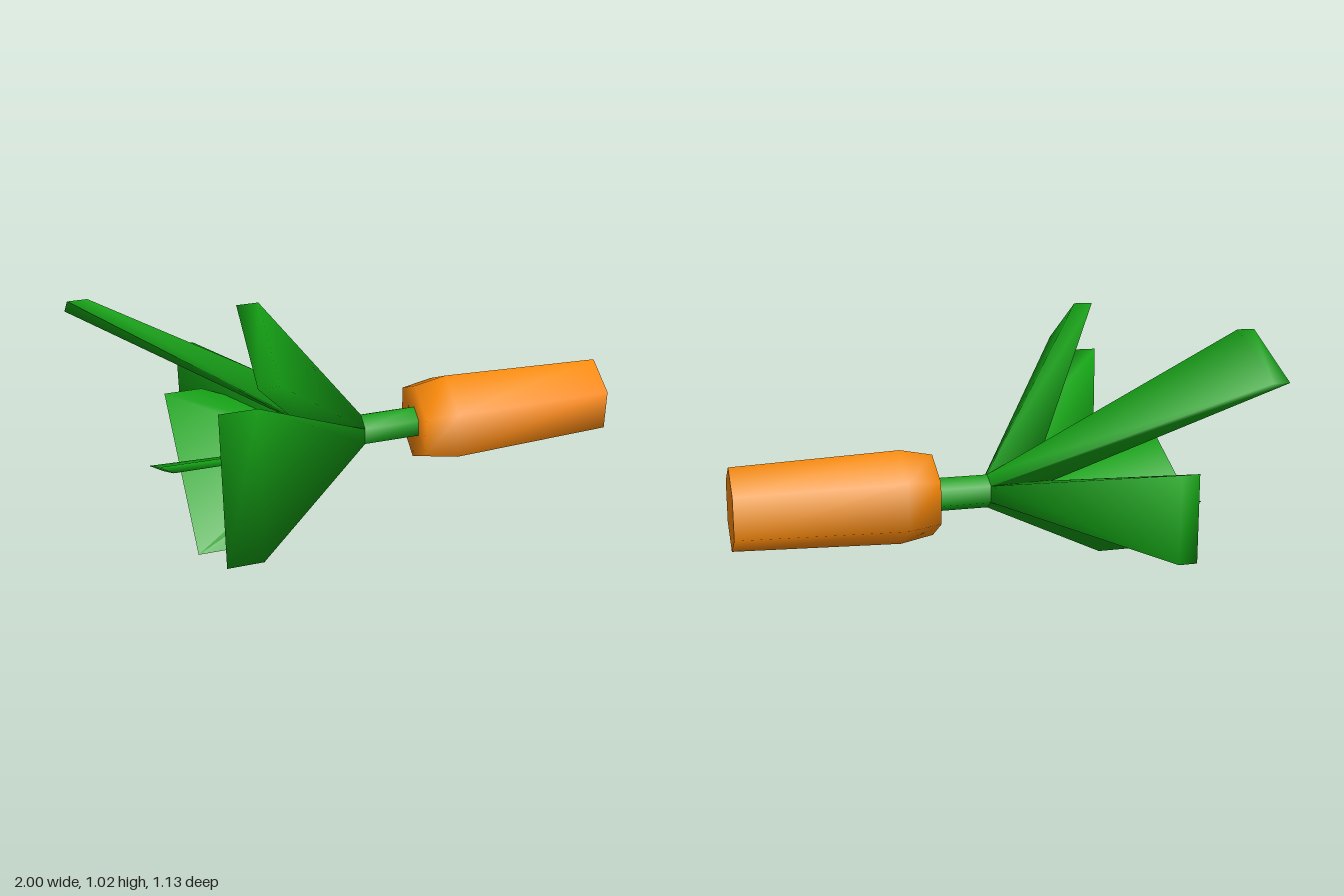
import * as THREE from 'three';
import { toCreasedNormals } from 'three/addons/utils/BufferGeometryUtils.js';

const AXIS_Y = 0.333, AXIS_Z = 0.04;
const orange = new THREE.MeshStandardMaterial({ color: 0xff8c0a });
const green = new THREE.MeshStandardMaterial({ color: 0x14a014 });

// Six-sided turned solid along x from [radius, x] pairs, a ridge on top
function hexSolid(name, profile, material) {
  const geo = new THREE.LatheGeometry(profile.map(([r, x]) => new THREE.Vector2(r, x)), 6);
  geo.rotateY(Math.PI / 6).rotateZ(-Math.PI / 2).translate(0, AXIS_Y, AXIS_Z);
  const mesh = new THREE.Mesh(toCreasedNormals(geo, 1.45), material);
  mesh.name = name;
  return mesh;
}

// Wedge growing from one side of the stem to a wider end. The end is given by
// its x range, sideways shift, half width and distances from the axis
function leaf(side, [front, back, shift, half, distFront, distBack = distFront]) {
  const geo = new THREE.BoxGeometry(1, 1, 1);
  const pos = geo.attributes.position;
  const a = side * Math.PI / 3, c = Math.cos(a), s = Math.sin(a);
  for (let i = 0; i < pos.count; i++) {
    const tip = pos.getY(i) > 0, fore = pos.getX(i) > 0, sign = -Math.sign(pos.getZ(i));
    const x = tip ? (fore ? front : back) : (fore ? 0.03 : -0.15);
    const out = tip ? (fore ? distFront : distBack) : (fore ? 0.056 : 0.03);
    const across = tip ? shift + sign * half : sign * 0.0325;
    pos.setXYZ(i, x, AXIS_Y + out * s + across * c, AXIS_Z + out * c - across * s);
  }
  const mesh = new THREE.Mesh(toCreasedNormals(geo, 2.4), green);
  mesh.name = 'leaf' + (side + 1);
  return mesh;
}

export function createModel() {
  const model = new THREE.Group();
  model.name = 'carrot';

  // Root with a bevelled shoulder and flat ends
  model.add(hexSolid('root', [[0, 0.245], [0.157, 0.245], [0.182, 0.37], [0.158, 1], [0, 1]], orange));

  // Stem, running from between the leaves into the root
  model.add(hexSolid('stem', [[0, -0.15], [0.04, -0.15], [0.065, 0.03], [0.065, 0.26]], green));

  // One leaf on each side of the stem
  const leaves = [
    [-0.48, -0.61, 0.157, 0.302, 0.525],
    [-0.4, -0.475, -0.014, 0.167, 0.706],
    [-0.93, -1, -0.002, 0.167, 0.604],
    [-0.5, -0.57, 0, 0.163, 0.605],
    [-0.5, -0.65, -0.053, 0.358, 0.21],
    [-0.73, -0.78, 0.106, 0.167, 0.043, 0.015],
  ];
  leaves.forEach((end, side) => model.add(leaf(side, end)));
  return model;
}
